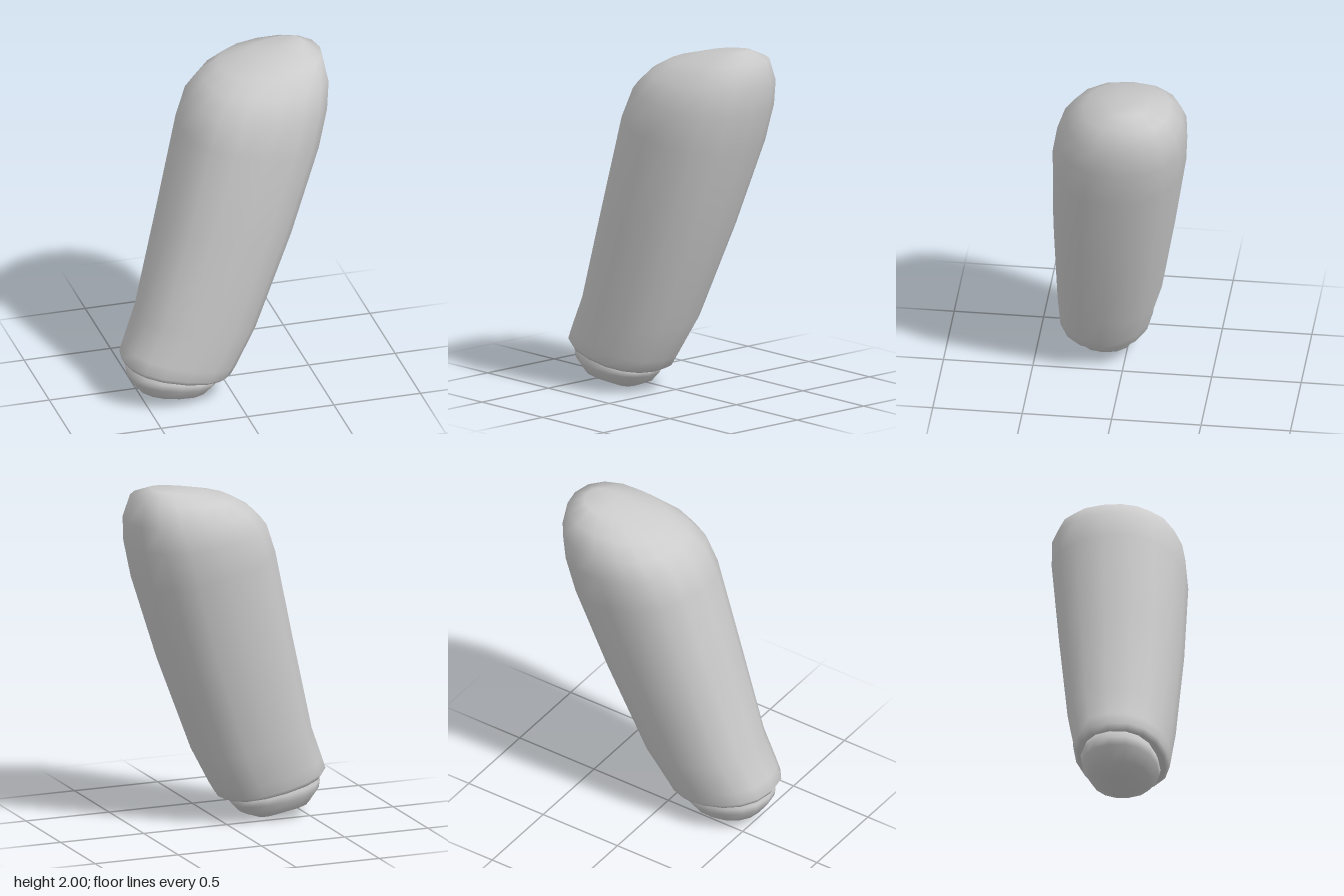
import * as THREE from 'three';

const SIDES = 16;
const ROUND = 2.25; // superellipse exponent of the cross-sections

// Smooth closed loft through tilted rings, listed bottom to top.
// Each ring: [leftX, leftY, rightX, rightY, frontZ, backZ]
function loft(name, rings) {
  const positions = [], index = [];
  const bend = (v) => Math.sign(v) * Math.pow(Math.abs(v), 2 / ROUND);
  const centre = ([lx, ly, rx, ry, zf, zb]) => [(lx + rx) / 2, (ly + ry) / 2, (zf + zb) / 2];

  for (const ring of rings) {
    const [lx, ly, rx, ry, zf, zb] = ring;
    const [cx, cy, cz] = centre(ring);
    for (let j = 0; j < SIDES; j++) {
      const t = (j / SIDES) * Math.PI * 2;
      const u = bend(Math.cos(t)), w = bend(Math.sin(t));
      positions.push(cx + u * (rx - lx) / 2, cy + u * (ry - ly) / 2, cz + w * (zf - zb) / 2);
    }
  }
  for (let i = 0; i < rings.length - 1; i++) {
    for (let j = 0; j < SIDES; j++) {
      const k = (j + 1) % SIDES;
      const a = i * SIDES + j, b = i * SIDES + k;
      index.push(a, a + SIDES, b, b, a + SIDES, b + SIDES);
    }
  }
  // end caps
  const bottom = positions.length / 3, top = bottom + 1;
  const last = (rings.length - 1) * SIDES;
  positions.push(...centre(rings[0]), ...centre(rings[rings.length - 1]));
  for (let j = 0; j < SIDES; j++) {
    const k = (j + 1) % SIDES;
    index.push(bottom, j, k, top, last + k, last + j);
  }

  const geometry = new THREE.BufferGeometry();
  geometry.setAttribute('position', new THREE.Float32BufferAttribute(positions, 3));
  geometry.setIndex(index);
  geometry.computeVertexNormals();
  const mesh = new THREE.Mesh(geometry, new THREE.MeshStandardMaterial({ color: 0xcccccc }));
  mesh.name = name;
  return mesh;
}

export function createModel() {
  const group = new THREE.Group();
  group.name = 'leaningLimb';

  // leaning limb: lower rim, widening shaft, rounded shoulder
  group.add(loft('limbShaft', [
    [-0.57, 0.245, -0.09, 0.135, 0.33, -0.08],
    [-0.60, 0.235, -0.03, 0.12, 0.365, -0.115],
    [-0.62, 0.27, 0.0, 0.135, 0.385, -0.135],
    [-0.595, 0.34, 0.035, 0.19, 0.385, -0.145],
    [-0.52, 0.52, 0.15, 0.40, 0.387, -0.20],
    [-0.38, 1.07, 0.37, 0.95, 0.387, -0.295],
    [-0.25, 1.60, 0.54, 1.44, 0.372, -0.375],
    [-0.19, 1.76, 0.595, 1.66, 0.34, -0.388],
    [-0.10, 1.85, 0.612, 1.81, 0.28, -0.365],
    [0.0, 1.91, 0.585, 1.95, 0.18, -0.305],
    [0.18, 1.96, 0.49, 2.0, 0.03, -0.19],
  ]));

  // rounded stub peeking out below the rim
  group.add(loft('endStub', [
    [-0.42, 0.045, -0.22, 0.003, 0.20, 0.03],
    [-0.53, 0.075, -0.13, 0.035, 0.29, -0.045],
    [-0.585, 0.155, -0.08, 0.085, 0.335, -0.085],
    [-0.592, 0.20, -0.07, 0.115, 0.34, -0.09],
    [-0.56, 0.26, -0.09, 0.16, 0.32, -0.07],
  ]));
  return group;
}
